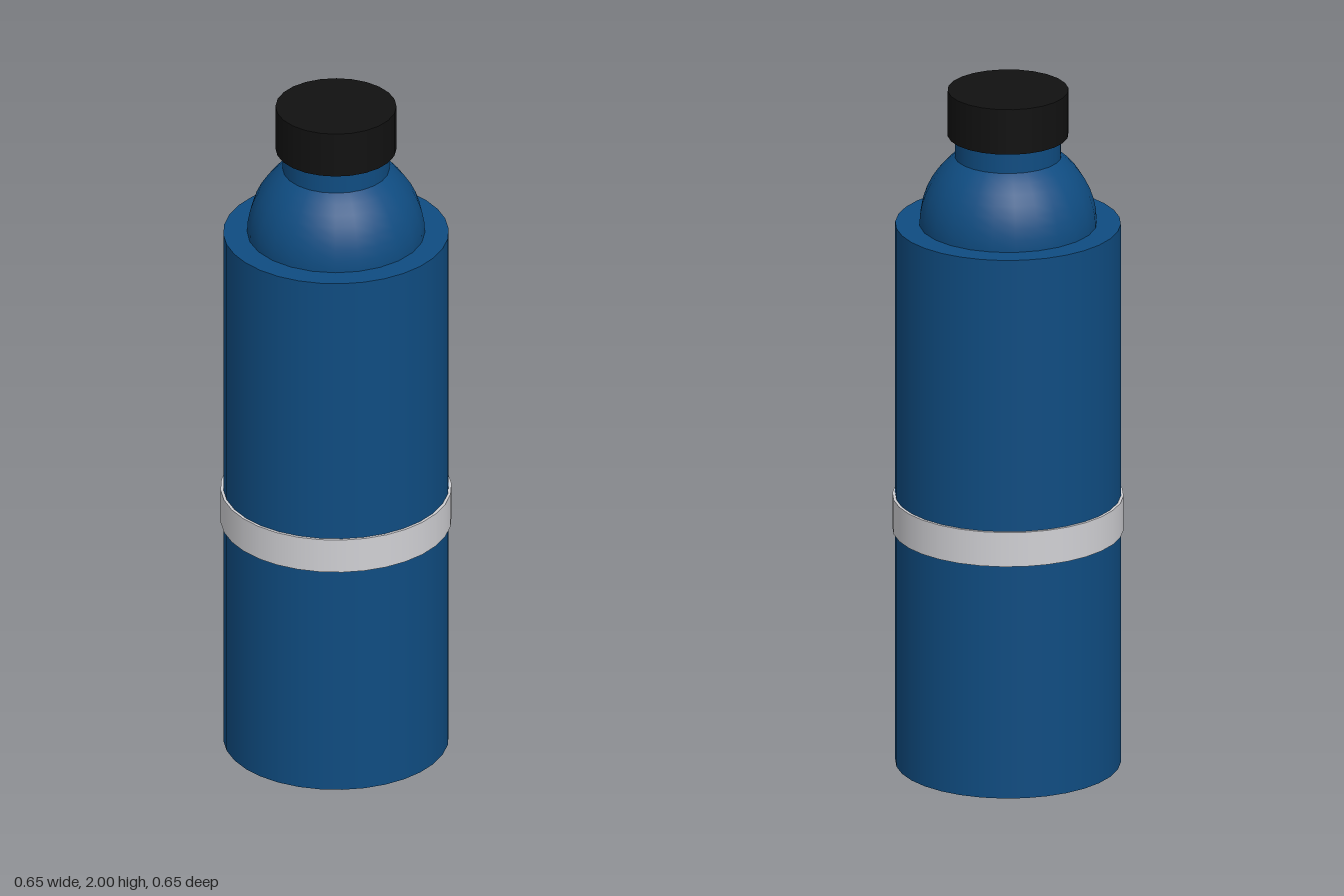
import * as THREE from 'three';

export function createModel() {
  const bottle = new THREE.Group();
  bottle.name = 'bottle';

  const material = (name, color) => {
    const m = new THREE.MeshStandardMaterial({ color });
    m.name = name;
    return m;
  };
  const blue = material('blue', 0x0f4c81);
  const black = material('black', 0x111111);
  const silver = material('silver', 0xd0d0d4);

  const add = (name, geometry, mat, y) => {
    const mesh = new THREE.Mesh(geometry, mat);
    mesh.name = name;
    mesh.position.y = y;
    bottle.add(mesh);
  };
  // upright closed cylinder spanning bottom to top
  const cylinder = (name, radius, bottom, top, sides, mat) =>
    add(name, new THREE.CylinderGeometry(radius, radius, top - bottom, sides), mat, (bottom + top) / 2);

  cylinder('body', 0.317, 0, 1.603, 32, blue);
  cylinder('band', 0.325, 0.693, 0.795, 32, silver);

  // hemispherical shoulder sitting on the body
  add('shoulder', new THREE.SphereGeometry(0.25, 24, 12, 0, Math.PI * 2, 0, Math.PI / 2), blue, 1.603);

  cylinder('neck', 0.15, 1.75, 1.87, 24, blue);
  cylinder('cap', 0.17, 1.866, 2, 24, black);

  return bottle;
}
